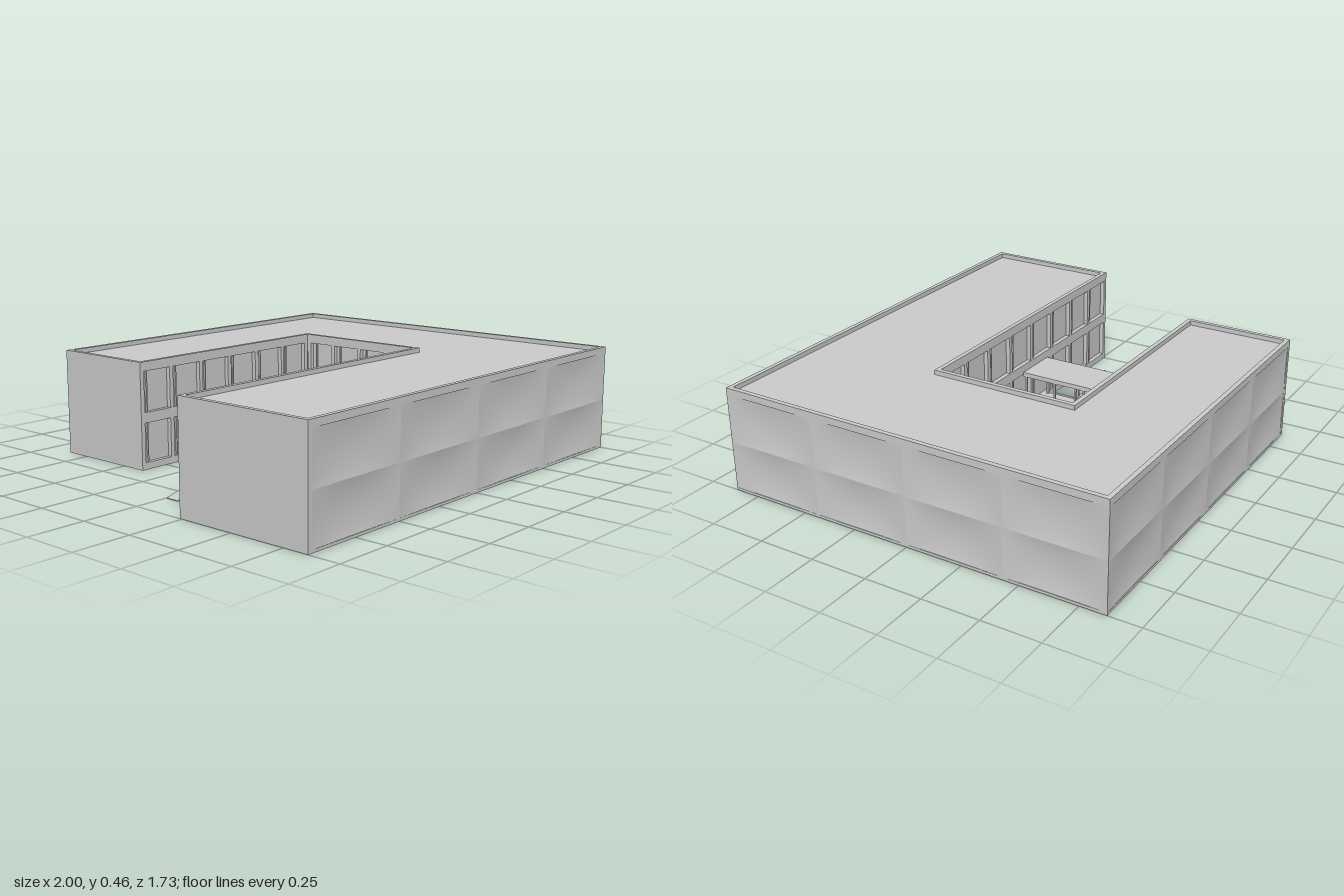
import * as THREE from 'three';

const H = 0.46, MID = 0.22, ROOF = 0.44, T = 0.02, Z = 0.8625;

export function createModel() {
  const building = new THREE.Group();
  building.name = 'courtyardBuilding';
  const mat = new THREE.MeshStandardMaterial({ color: 0xcccccc, side: THREE.DoubleSide });

  const add = (name, geo, parent = building) => {
    const mesh = new THREE.Mesh(geo, mat);
    mesh.name = name;
    parent.add(mesh);
    return mesh;
  };
  const group = (name) => {
    const g = new THREE.Group();
    g.name = name;
    building.add(g);
    return g;
  };
  // Box given by its minimum and maximum along each axis
  const box = (name, x0, x1, y0, y1, z0, z1, parent) => {
    const mesh = add(name, new THREE.BoxGeometry(x1 - x0, y1 - y0, z1 - z0), parent);
    mesh.position.set((x0 + x1) / 2, (y0 + y1) / 2, (z0 + z1) / 2);
    return mesh;
  };

  // C-shaped plan, inset by d on every side
  const plan = (d) => [
    [-1 + d, Z - d], [1 - d, Z - d], [1 - d, -Z + d], [-0.635 + d, -Z + d],
    [-0.635 + d, -0.38 - d], [0.41 + d, -0.38 - d], [0.41 + d, 0.24 + d], [-1 + d, 0.24 + d],
  ].map(([x, z]) => new THREE.Vector2(x, -z));
  const slab = (name, d, y0, y1, holeInset) => {
    const shape = new THREE.Shape(plan(d));
    if (holeInset) shape.holes.push(new THREE.Path(plan(holeInset)));
    const geo = new THREE.ExtrudeGeometry(shape, { depth: y1 - y0, bevelEnabled: false });
    geo.rotateX(-Math.PI / 2).translate(0, y0, 0);
    add(name, geo);
  };
  slab('core', T, 0.01, ROOF);
  slab('baseSlab', 0, 0, 0.012);
  slab('parapet', 0, ROOF - 0.01, H, T);

  // Outer walls: two rows of gently dished panels
  const dishedWall = (name, length, x, z, turn) => {
    const wall = group(name), w = length / 4;
    for (let col = 0; col < 4; col++) {
      for (const [y0, y1] of [[0, MID], [MID, H]]) {
        const geo = new THREE.PlaneGeometry(w, y1 - y0, 16, 12);
        const p = geo.attributes.position;
        for (let i = 0; i < p.count; i++) {
          const u = Math.cos(Math.PI * p.getX(i) / w);
          const v = Math.cos(Math.PI * p.getY(i) / (y1 - y0));
          p.setZ(i, -0.011 * Math.sqrt(Math.max(0, u * v)) * Math.max(0, u * v) ** 0.3);
        }
        geo.computeVertexNormals();
        add('wallPanel', geo, wall).position.set((col - 1.5) * w, (y0 + y1) / 2, 0);
      }
    }
    wall.position.set(x, 0, z);
    wall.rotation.y = turn;
  };
  dishedWall('frontWall', 2, 0, Z, 0);
  dishedWall('leftWall', 2 * Z, 1, 0, Math.PI / 2);
  dishedWall('backWall', 1.635, 0.1825, -Z, Math.PI);

  // Plain end walls of the two wings
  box('frontWingEnd', -1, -1 + T, 0, H - 0.02, 0.24, Z);
  box('backWingEnd', -0.635, -0.635 + T, 0, H - 0.02, -Z, -0.38);

  // Courtyard walls: frame of rails and mullions in front of recessed panes
  const windowWall = (name, length, bays, x, z, turn) => {
    const wall = group(name), h = length / 2, pitch = length / bays;
    for (const [y0, y1] of [[0, 0.03], [0.2, 0.245], [0.42, ROOF]])
      box('rail', -h, h, y0, y1, -T, 0, wall);
    for (let i = 0; i <= bays; i++) {
      const c = THREE.MathUtils.clamp(-h + i * pitch, -h + 0.01, h - 0.01);
      box('mullion', c - 0.01, c + 0.01, 0.012, ROOF, -T, -0.001, wall);
      if (i === bays) continue;
      // slim opening sash beside each mullion
      box('sash', c + 0.032, c + 0.038, 0.03, 0.42, -T, -0.012, wall);
    }
    wall.position.set(x, 0, z);
    wall.rotation.y = turn;
  };
  windowWall('backWingWindows', 1.045, 6, -0.1125, -0.38, 0);
  windowWall('frontWingWindows', 1.41, 8, -0.295, 0.24, Math.PI);
  windowWall('courtWindows', 0.62, 4, 0.41, -0.07, -Math.PI / 2);

  // Lobby linking the wings: floor, flat roof and slim posts
  const lobby = group('lobby');
  box('lobbyFloor', -0.43, -0.22, 0, 0.03, -0.38, 0.24, lobby);
  box('lobbyRoof', -0.43, -0.22, 0.19, 0.21, -0.38, 0.24, lobby);
  for (const x of [-0.425, -0.235]) {
    for (let i = 0; i <= 4; i++) {
      const z = -0.375 + i * 0.15;
      box('lobbyPost', x, x + 0.01, 0.03, 0.19, z, z + 0.01, lobby);
    }
  }

  // Entrance landing with railings and a ramp down to the ground
  const entrance = group('entrance');
  box('landing', -0.69, -0.43, 0, 0.05, -0.05, 0.07, entrance);
  box('sideRail', -0.69, -0.43, 0.08, 0.086, 0.066, 0.072, entrance);
  for (const x of [-0.69, -0.56, -0.436])
    box('railPost', x, x + 0.006, 0.05, 0.08, 0.066, 0.072, entrance);
  box('endCurb', -0.705, -0.69, 0, 0.06, -0.05, 0.01, entrance);
  const ramp = new THREE.Shape([[-0.855, 0], [-0.835, 0], [-0.69, 0.038], [-0.69, 0.05], [-0.855, 0.004]]
    .map(([x, y]) => new THREE.Vector2(x, y)));
  add('ramp', new THREE.ExtrudeGeometry(ramp, { depth: 0.06, bevelEnabled: false }), entrance)
    .position.z = 0.01;

  return building;
}
